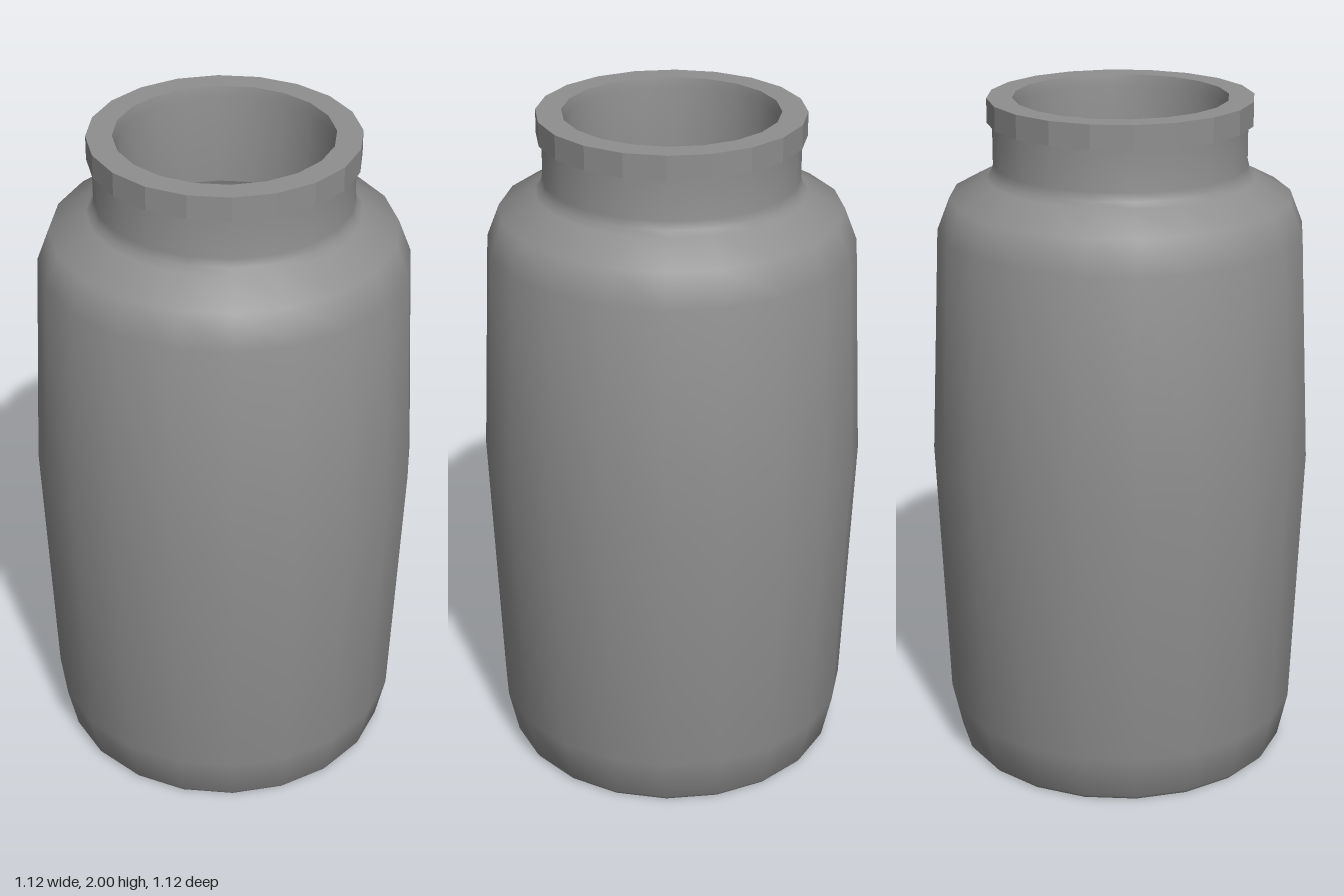
import * as THREE from 'three';
import { toCreasedNormals } from 'three/addons/utils/BufferGeometryUtils.js';

const SIDES = 20;
const material = new THREE.MeshStandardMaterial({ color: 0x8f8f8f });

// Turns a profile of [radius, height] pairs around the y axis
function turned(name, profile, creaseAngle) {
  const points = profile.map(([r, y]) => new THREE.Vector2(r, y));
  const geometry = toCreasedNormals(new THREE.LatheGeometry(points, SIDES), creaseAngle);
  const mesh = new THREE.Mesh(geometry, material);
  mesh.name = name;
  return mesh;
}

export function createModel() {
  const group = new THREE.Group();
  group.name = 'jar';

  // Base, bulging wall, rounded shoulder and neck
  group.add(turned('outerWall', [
    [0, 0], [0.49, 0], [0.5, 0.013], [0.53, 0.15], [0.562, 0.95],
    [0.532, 1.62], [0.495, 1.715], [0.39, 1.77],
    [0.374, 1.785], [0.368, 1.81], [0.368, 1.93],
  ], 0.8));

  // Faceted band around the mouth, with its flat top
  group.add(turned('lip', [
    [0.368, 1.93], [0.383, 1.93], [0.383, 2], [0.31, 2],
  ], 0.2));

  // Hollow inside: straight throat, wider cavity and flat floor
  group.add(turned('innerWall', [
    [0.31, 2], [0.304, 1.97], [0.304, 1.7], [0.44, 1.66],
    [0.47, 1.6], [0.5, 0.95], [0.47, 0.15], [0.44, 0.06], [0, 0.06],
  ], 0.8));

  return group;
}
